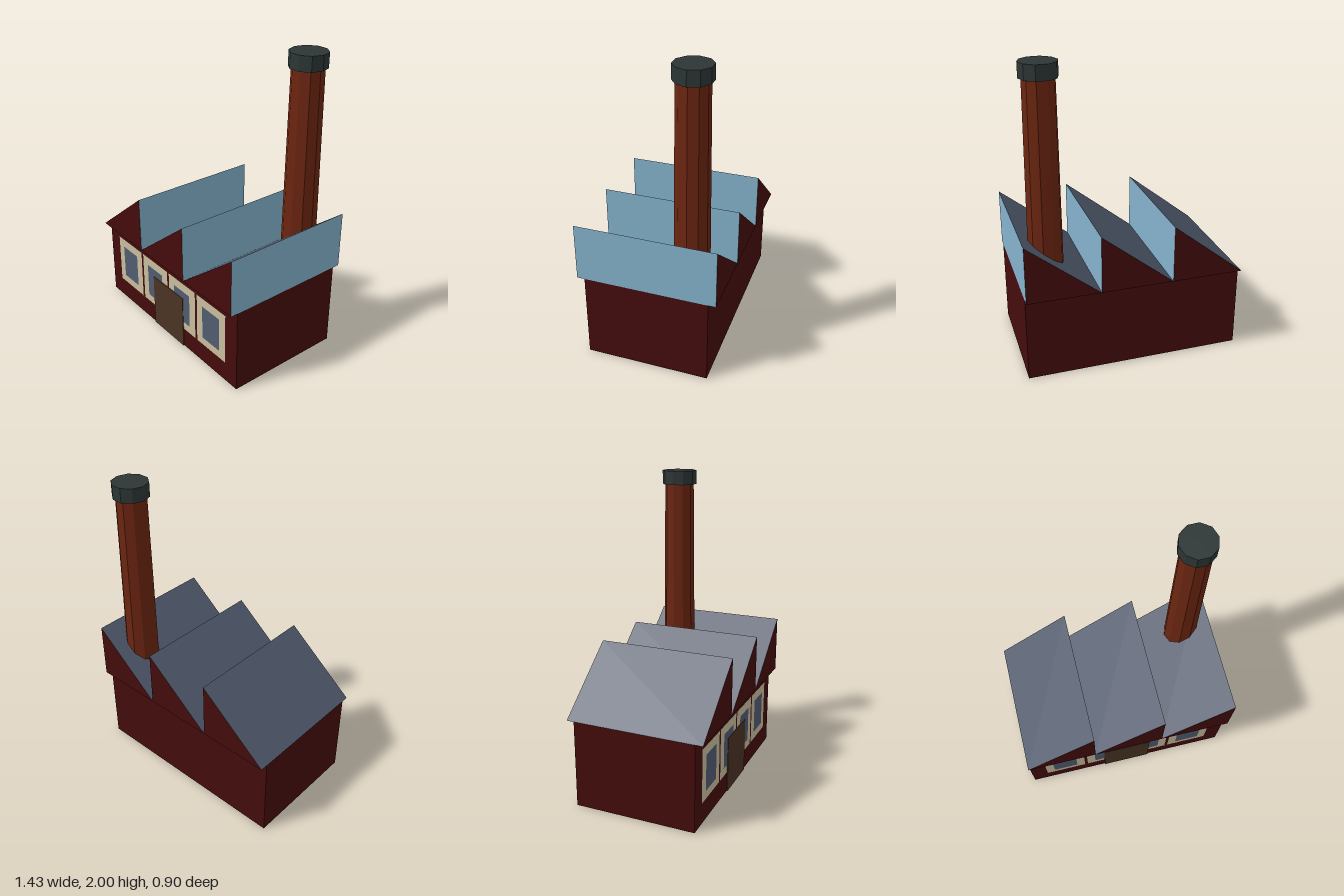
import * as THREE from 'three';

const material = (name, color, side = THREE.FrontSide) => {
  const m = new THREE.MeshStandardMaterial({ color, side, flatShading: true });
  m.name = name;
  return m;
};

export function createModel() {
  const brick = material('dark red brick', 0x450c0c, THREE.DoubleSide);
  const slate = material('slate roof', 0x4d5668, THREE.DoubleSide);
  const skylight = material('skylight glass', 0x84b2cc, THREE.DoubleSide);
  const pane = material('window glass', 0x525c70);
  const trim = material('cream trim', 0xc8bd9f);
  const wood = material('brown door', 0x4a3424);
  const clay = material('chimney clay', 0x6c2510);
  const soot = material('dark cap', 0x2d3635);

  const model = new THREE.Group();
  model.name = 'factory';
  const add = (name, geometry, mat, x, y, z, parent = model) => {
    const mesh = new THREE.Mesh(geometry, mat);
    mesh.name = name;
    mesh.position.set(x, y, z);
    parent.add(mesh);
    return mesh;
  };

  // Main hall
  const half = 0.713, eaves = 0.573, depth = 0.806;
  add('hall', new THREE.BoxGeometry(half * 2, eaves, depth), brick, 0, eaves / 2, 0);

  // Saw-tooth roof: open underneath, overhanging front and back
  const bay = half * 2 / 3, rise = 0.38, roofDepth = 0.905;
  const gable = new THREE.Shape([[0, 0], [bay, 0], [bay, rise]].map(p => new THREE.Vector2(...p)));
  const gableGeometry = new THREE.ShapeGeometry(gable);
  const slopeGeometry = new THREE.PlaneGeometry(Math.hypot(bay, rise), roofDepth)
    .rotateX(-Math.PI / 2).rotateZ(Math.atan2(rise, bay));
  const glassGeometry = new THREE.PlaneGeometry(roofDepth, rise).rotateY(Math.PI / 2);
  for (let i = 0; i < 3; i++) {
    const tooth = new THREE.Group();
    tooth.name = 'roofTooth';
    tooth.position.set(-half + i * bay, eaves, 0);
    model.add(tooth);
    add('roofSlope', slopeGeometry, slate, bay / 2, rise / 2, 0, tooth);
    add('skylight', glassGeometry, skylight, bay, rise / 2, 0, tooth);
    for (const s of [-1, 1]) add('gable', gableGeometry, brick, 0, 0, s * roofDepth / 2, tooth);
  }

  // Front windows and door
  const front = depth / 2;
  for (const x of [-0.46, -0.153, 0.153, 0.46]) {
    add('windowFrame', new THREE.PlaneGeometry(0.286, 0.355), trim, x, 0.317, front + 0.002);
    add('windowPane', new THREE.PlaneGeometry(0.17, 0.24), pane, x, 0.316, front + 0.004);
  }
  add('door', new THREE.BoxGeometry(0.335, 0.38, 0.006), wood, 0, 0.19, front + 0.004);

  // Ten-sided chimney with its cap
  const cx = 0.54, cz = -0.245;
  const ring = (top, bottom, h) => new THREE.CylinderGeometry(top, bottom, h, 10).rotateY(Math.PI / 2);
  add('chimney', ring(0.1, 0.119, 1.91), clay, cx, 0.96, cz);
  add('chimneyCap', ring(0.118, 0.118, 0.094), soot, cx, 1.953, cz);

  return model;
}
